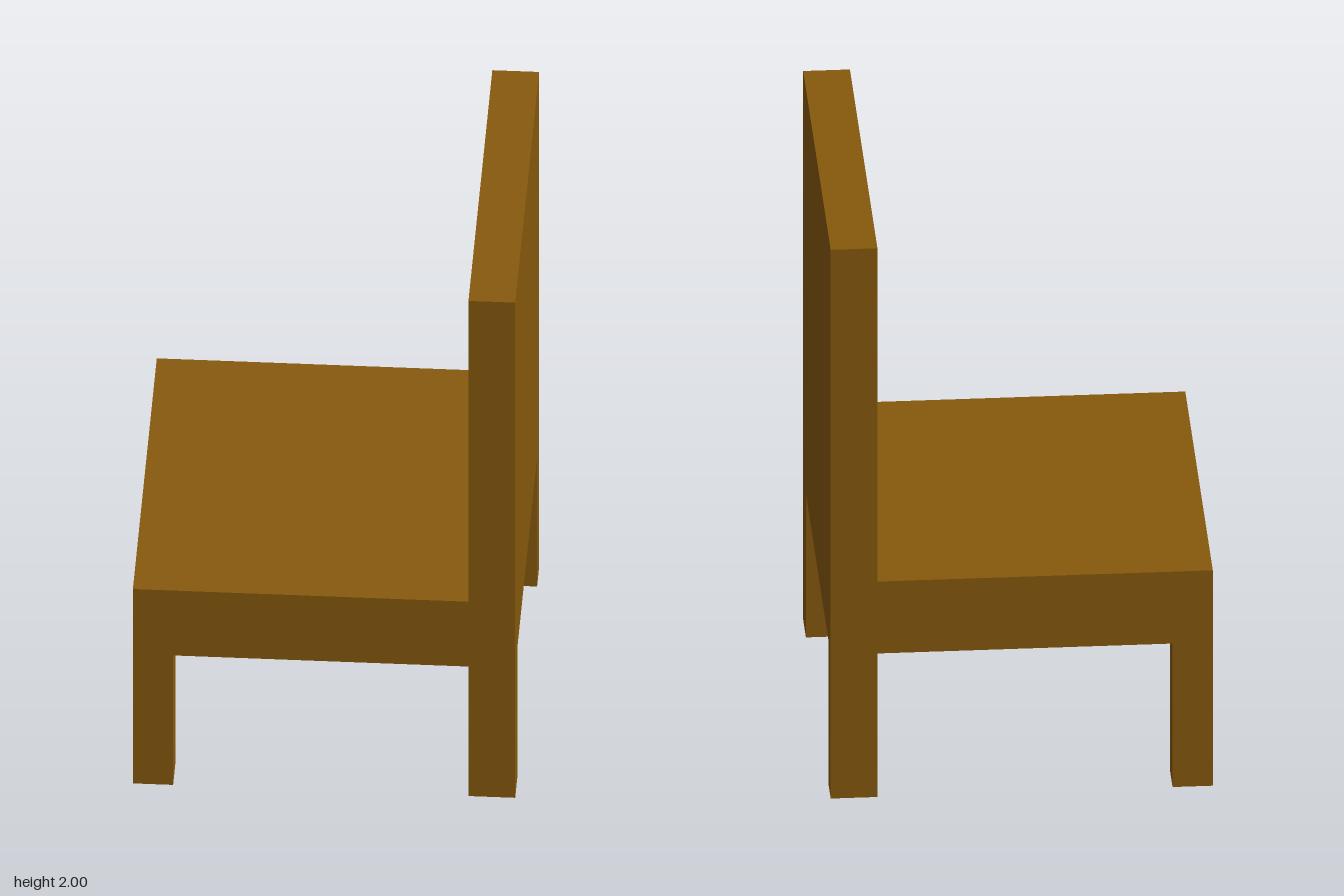
import * as THREE from 'three';

export function createModel() {
  const chair = new THREE.Group();
  chair.name = 'chair';
  const wood = new THREE.MeshStandardMaterial({ color: 0x87590d });
  wood.name = 'brown wood';

  // Box given by its limits on each axis
  function block(name, [x0, x1], [y0, y1], [z0, z1]) {
    const mesh = new THREE.Mesh(new THREE.BoxGeometry(x1 - x0, y1 - y0, z1 - z0), wood);
    mesh.position.set((x0 + x1) / 2, (y0 + y1) / 2, (z0 + z1) / 2);
    mesh.name = name;
    chair.add(mesh);
  }

  const half = 0.617, seatBottom = 0.523, seatTop = 0.785;
  const backX = [0.466, half];   // thickness of the backrest and rear legs
  const depth = [-half, half];

  // Seat slab and upright backrest
  block('seat', [-half, backX[0]], [seatBottom, seatTop], depth);
  block('backrest', backX, [seatBottom, 2], depth);

  // Four legs, slightly deeper on the +z side
  const legX = { seatEdge: [-half, -0.487], backrest: backX };
  const legZ = { Front: [0.495, half], Rear: [-half, -0.513] };
  for (const [xName, xs] of Object.entries(legX))
    for (const [zName, zs] of Object.entries(legZ))
      block(`${xName}${zName}Leg`, xs, [0, seatBottom], zs);

  return chair;
}
